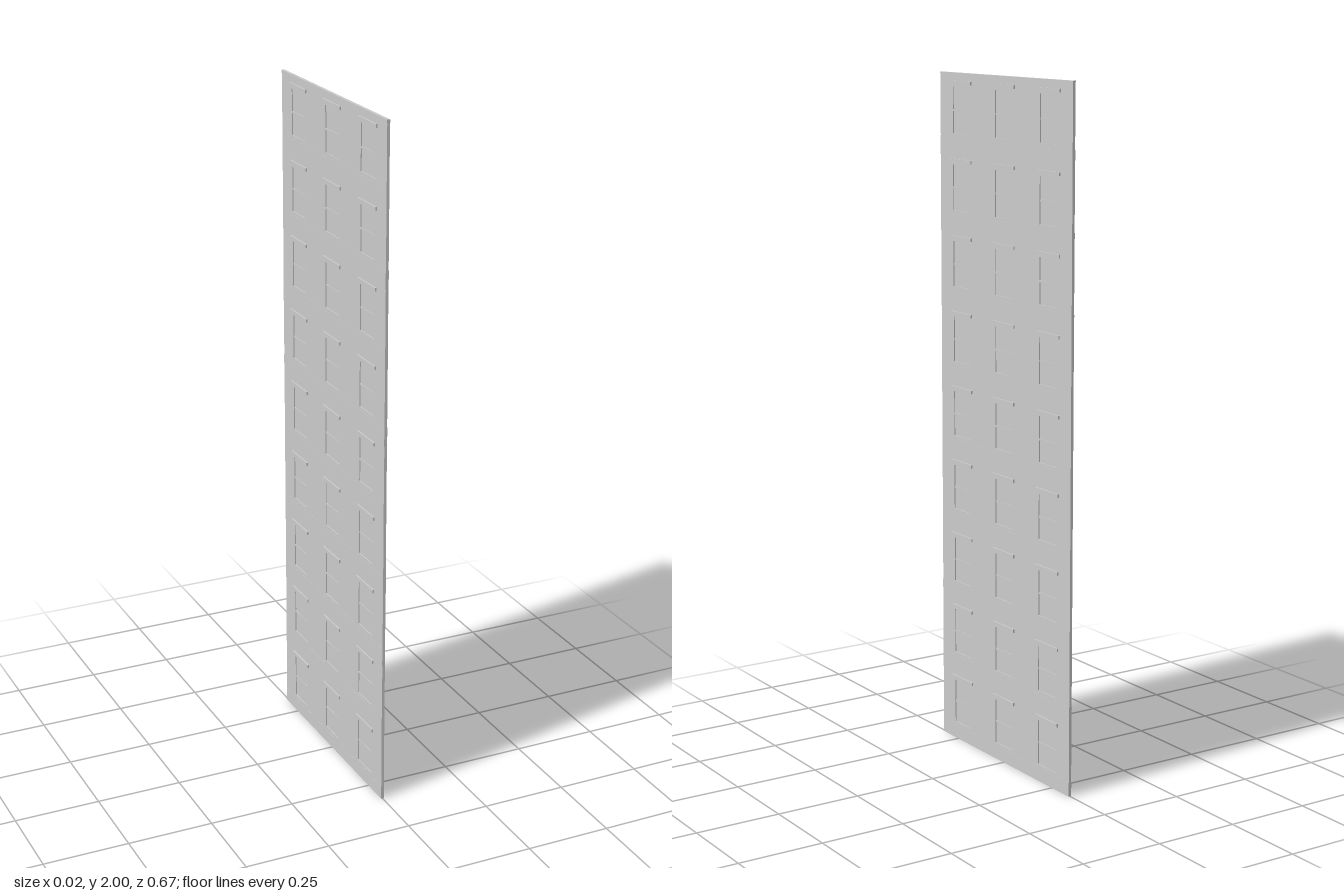
import * as THREE from 'three';

const FLOORS = 9, PITCH = 2 / FLOORS, WIDTH = 0.666;
const COLUMNS = [-0.222, 0, 0.222];
const WIN = { w: 0.088, bottom: 0.05, top: 0.182 };

export function createModel() {
  const group = new THREE.Group();
  const material = new THREE.MeshStandardMaterial({ color: 0xcccccc, flatShading: true });

  // Box centred on the wall plane, so it shows equally on both faces
  function slab(name, thick, y0, y1, z, depth, parent = group) {
    const mesh = new THREE.Mesh(new THREE.BoxGeometry(thick, y1 - y0, depth), material);
    mesh.name = name;
    mesh.position.set(0, (y0 + y1) / 2, z);
    parent.add(mesh);
  }

  // Wall sheet with one opening per window
  const shape = new THREE.Shape();
  shape.moveTo(-WIDTH / 2, 0).lineTo(WIDTH / 2, 0).lineTo(WIDTH / 2, 2).lineTo(-WIDTH / 2, 2).closePath();
  for (let f = 0; f < FLOORS; f++) {
    for (const z of COLUMNS) {
      const y0 = f * PITCH + WIN.bottom, y1 = f * PITCH + WIN.top, h = WIN.w / 2;
      const hole = new THREE.Path();
      hole.moveTo(-z - h, y0).lineTo(-z - h, y1).lineTo(-z + h, y1).lineTo(-z + h, y0).closePath();
      shape.holes.push(hole);
    }
  }
  const wallGeometry = new THREE.ExtrudeGeometry(shape, { depth: 0.008, bevelEnabled: false });
  wallGeometry.translate(0, 0, -0.004).rotateY(Math.PI / 2);
  const wall = new THREE.Mesh(wallGeometry, material);
  wall.name = 'wall';
  group.add(wall);

  // Plinth and the shallow bands between storeys
  slab('plinth', 0.009, 0, 0.04, 0, WIDTH);
  for (let f = 1; f < FLOORS; f++) {
    slab('storeyBand', 0.009, f * PITCH - 0.015, f * PITCH + 0.04, 0, WIDTH);
  }
  slab('coping', 0.009, 1.99, 2, 0, WIDTH);

  // Windows: recessed pane, middle rail and projecting hood
  for (let f = 0; f < FLOORS; f++) {
    for (const z of COLUMNS) {
      const win = new THREE.Group();
      win.name = 'window';
      win.position.set(0, f * PITCH, z);
      slab('pane', 0.002, WIN.bottom, WIN.top, 0, WIN.w, win);
      slab('middleRail', 0.006, 0.112, 0.118, 0, WIN.w, win);
      slab('hood', 0.017, 0.189, 0.199, 0, 0.11, win);
      group.add(win);
    }
  }
  return group;
}
